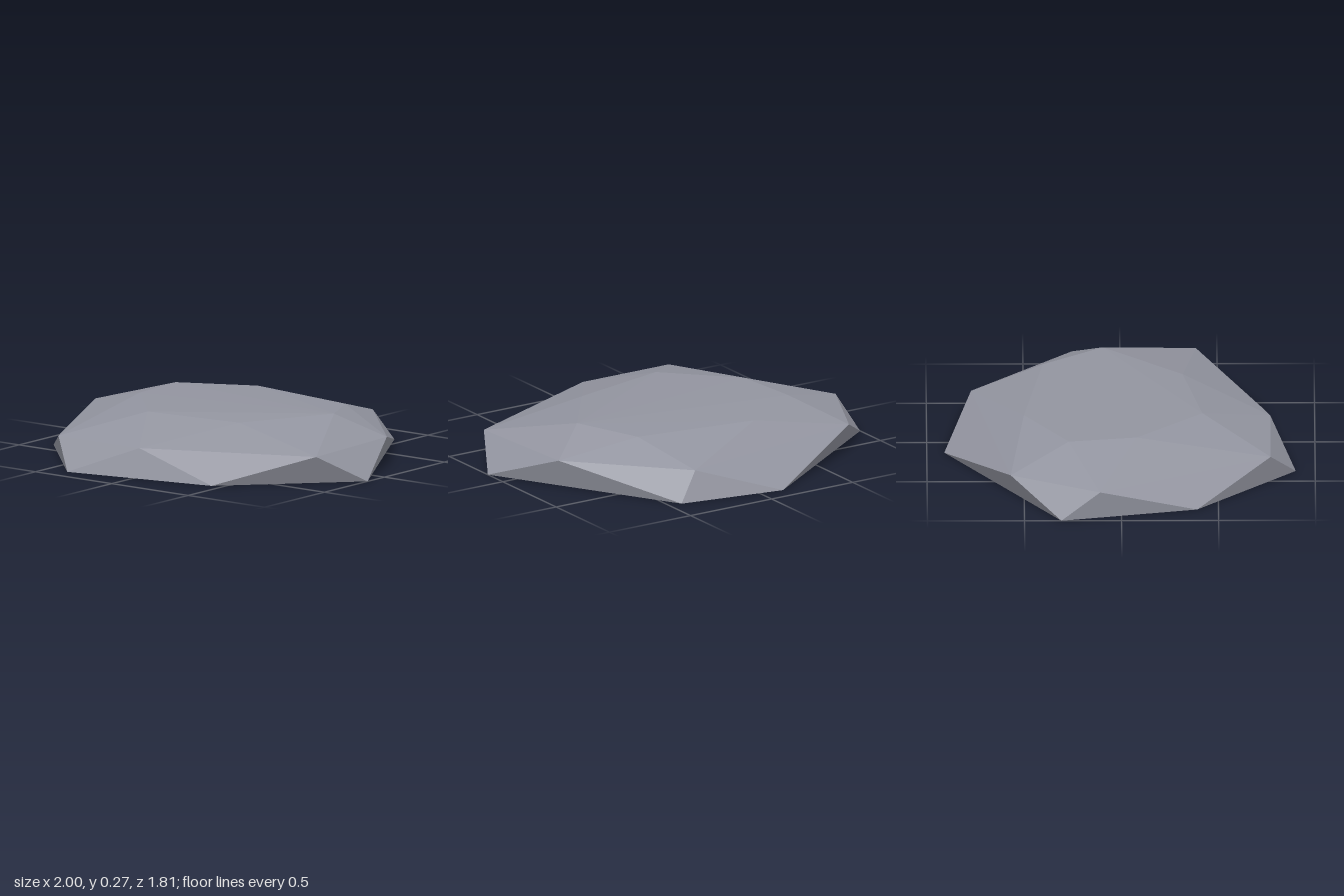
import * as THREE from 'three';

// Three seven-cornered rings [x, y, z], running counter-clockwise from the back
const BASE = [
  [-0.13, 0, -0.91], [-1, 0, -0.31], [-0.86, 0, 0.39], [-0.37, 0, 0.9],
  [0.44, 0, 0.73], [1, 0, 0.14], [0.43, 0, -0.81],
];
const SHOULDER = [
  [-0.76, 0.15, -0.57], [-0.98, 0.15, -0.11], [-0.53, 0.15, 0.77], [0, 0.15, 0.77],
  [0.86, 0.15, 0.39], [0.82, 0.15, -0.25], [0.32, 0.15, -0.77],
];
const CROWN = [
  [-0.22, 0.25, -0.5], [-0.58, 0.26, -0.27], [-0.54, 0.265, 0.08], [-0.22, 0.26, 0.42],
  [0.3, 0.25, 0.32], [0.6, 0.27, -0.09], [0.43, 0.25, -0.4],
];

function createRockGeometry() {
  const n = BASE.length;
  const index = [];
  for (let i = 0; i < n; i++) {
    const j = (i + 1) % n;
    const base = [i, j], mid = [n + i, n + j], top = [2 * n + i, 2 * n + j];
    // steep lower facets
    index.push(base[0], base[1], mid[0], mid[0], base[1], mid[1]);
    // sloping upper facets
    index.push(mid[0], top[1], top[0], mid[0], mid[1], top[1]);
  }
  // crown fans out from its highest corner, underside from its first
  const peak = 5;
  for (let k = 1; k < n - 1; k++) {
    index.push(2 * n + peak, 2 * n + (peak + k) % n, 2 * n + (peak + k + 1) % n);
    index.push(0, k + 1, k);
  }
  const indexed = new THREE.BufferGeometry();
  indexed.setAttribute('position',
    new THREE.Float32BufferAttribute([...BASE, ...SHOULDER, ...CROWN].flat(), 3));
  indexed.setIndex(index);
  const geometry = indexed.toNonIndexed();
  geometry.computeVertexNormals();
  return geometry;
}

export function createModel() {
  const group = new THREE.Group();
  group.name = 'flatRock';
  const stone = new THREE.MeshStandardMaterial({ color: 0x92949f, flatShading: true });
  stone.name = 'grey stone';
  const rock = new THREE.Mesh(createRockGeometry(), stone);
  rock.name = 'rock';
  group.add(rock);
  return group;
}
